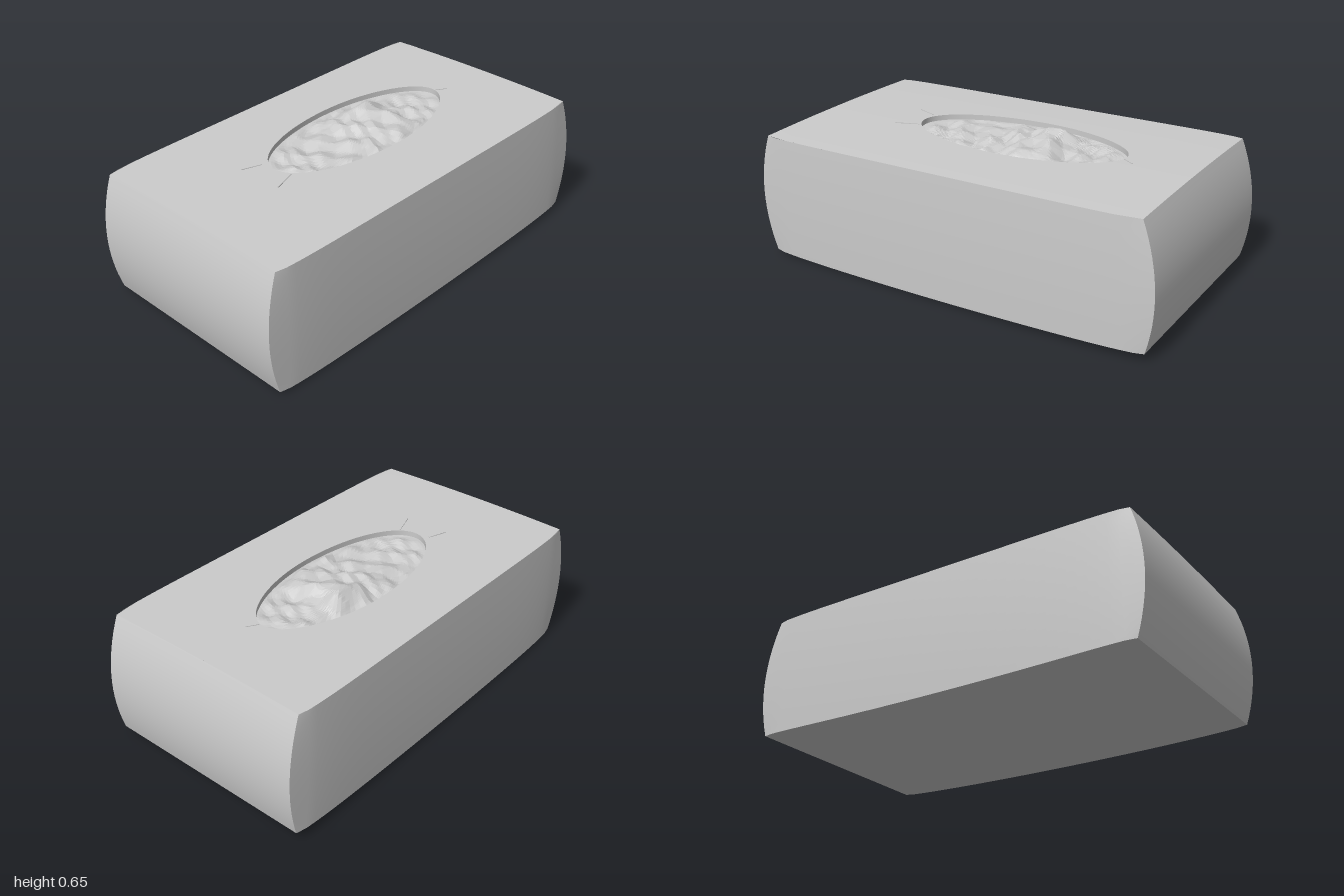
import * as THREE from 'three';

const smoothGrey = new THREE.MeshStandardMaterial({ color: 0xcccccc, side: THREE.DoubleSide });
const foldedGrey = new THREE.MeshStandardMaterial({ color: 0xcccccc, side: THREE.DoubleSide, flatShading: true });

// Surface from a rule: s and t run 0..1, the face looks along ds x dt
function surface(name, rule, nS, nT, material = smoothGrey) {
  const position = [], index = [];
  for (let j = 0; j <= nT; j++)
    for (let i = 0; i <= nS; i++) position.push(...rule(i / nS, j / nT));
  for (let j = 0; j < nT; j++)
    for (let i = 0; i < nS; i++) {
      const a = j * (nS + 1) + i, d = a + nS + 1;
      index.push(a, a + 1, d + 1, a, d + 1, d);
    }
  const geometry = new THREE.BufferGeometry();
  geometry.setAttribute('position', new THREE.Float32BufferAttribute(position, 3));
  geometry.setIndex(index);
  geometry.computeVertexNormals();
  const mesh = new THREE.Mesh(geometry, material);
  mesh.name = name;
  return mesh;
}

// Maps the cube -1..1 to the slightly skewed carton with bulging ends
function carton(u, v, w) {
  const end = Math.max(0, (Math.abs(w) - 0.95) / 0.05);
  const half = 0.522 + 0.012 * (1 - w ** 8) + 0.006 * (1 - v * v) - 0.006 * end;
  const x = u * half + 0.012 * w - 0.004;
  const puff = (1 - u * u) * 0.008;
  const top = 0.602 - 0.0125 * w + puff;
  const bottom = 0.026 - 0.013 * w - 0.025 * (1 - w * w) * (1 - 0.3 * u * u);
  const y = bottom + (top - bottom) * (v + 1) / 2;
  const z = w * 0.948 + (w < 0 ? -w * v * 0.018 : 0) + Math.sign(w) * end * 0.05 * (1 - v * v);
  return [x, y, z];
}

// Oval opening, narrower towards the back; r = 1 is its rim
function oval(angle, r) {
  const c = Math.cos(angle), s = Math.sin(angle);
  const tip = s < 0 ? 1 - 0.08 * s * s : 1;
  return [(-0.02 + 0.23 * c * r * tip) / 0.535, (-0.08 + 0.53 * s * r) / 0.948];
}

// Sharp folds running mostly across the opening
function folds(x, z) {
  const ridge = (k) => 1 - 2 * Math.abs(k - Math.floor(k) - 0.5);
  const across = ridge(z * 6.5 + x * 1.7 + 0.25 * Math.sin(x * 13));
  const slanted = ridge(z * 9 - x * 5 + 0.3 * Math.sin(z * 17 + 1));
  const lengthwise = ridge(x * 8 + z * 1.5 + 0.2 * Math.sin(z * 11));
  return 0.016 * across + 0.01 * slanted + 0.01 * lengthwise - 0.018;
}

// Tissue lies just below the rim and rises to one off-centre peak
function tissuePoint(angle, r) {
  const [u, w] = oval(angle, r);
  const [x, y, z] = carton(u, 1, w);
  const back = z + 0.24, side = x + 0.12;
  const f = Math.max(0, back > 0 ? 1 - back / 0.38 : 1 + back / 0.09);
  const g = Math.max(0, side < 0 ? 1 + side / 0.1 : 1 - side / 0.42);
  const fade = Math.min(1, (1 - r) * 7);
  return [x, y - 0.025 + fade * (folds(x, z) + 0.064 * f * g), z];
}

export function createModel() {
  const group = new THREE.Group();
  const turn = Math.PI * 2;
  const k = (s) => s * 2 - 1;

  // Carton walls and floor
  group.add(
    surface('frontPanel', (s, t) => carton(k(s), k(t), 1), 20, 16),
    surface('backPanel', (s, t) => carton(-k(s), k(t), -1), 20, 16),
    surface('leftPanel', (s, t) => carton(1, k(t), -k(s)), 40, 16),
    surface('rightPanel', (s, t) => carton(-1, k(t), k(s)), 40, 16),
    surface('bottomPanel', (s, t) => carton(k(s), -1, k(t)), 20, 40),
  );

  // Top panel: rings blending from the oval rim out to the carton edge
  group.add(surface('topPanel', (s, t) => {
    const a = s * turn, c = Math.cos(a), d = Math.sin(a);
    const m = Math.max(Math.abs(c), Math.abs(d));
    const [u, w] = oval(a, 1);
    const b = 1 - (1 - t) ** 2;
    return carton(u + (c / m - u) * b, 1, w + (d / m - w) * b);
  }, 96, 20));

  // Cut edge of the opening
  group.add(surface('openingRim', (s, t) => {
    const [x, y, z] = carton(oval(s * turn, 1)[0], 1, oval(s * turn, 1)[1]);
    return [x, y - 0.026 * (1 - t), z];
  }, 96, 1));

  // Crumpled tissue
  group.add(surface('tissue', (s, t) => tissuePoint(s * turn, t), 96, 30, foldedGrey));

  // Short creases where the perforation ends
  const creases = [[-0.09, 0.46, -0.12, 0.55], [0.06, 0.43, 0.1, 0.54], [-0.01, -0.6, 0.02, -0.65]];
  for (const [x0, z0, x1, z1] of creases) {
    const crease = new THREE.Mesh(
      new THREE.BoxGeometry(0.006, 0.006, Math.hypot(x1 - x0, z1 - z0)), smoothGrey);
    const x = (x0 + x1) / 2, z = (z0 + z1) / 2;
    crease.position.set(x, carton(x / 0.535, 1, z / 0.948)[1], z);
    crease.rotation.y = Math.atan2(x1 - x0, z1 - z0);
    crease.name = 'perforationCrease';
    group.add(crease);
  }
  return group;
}
